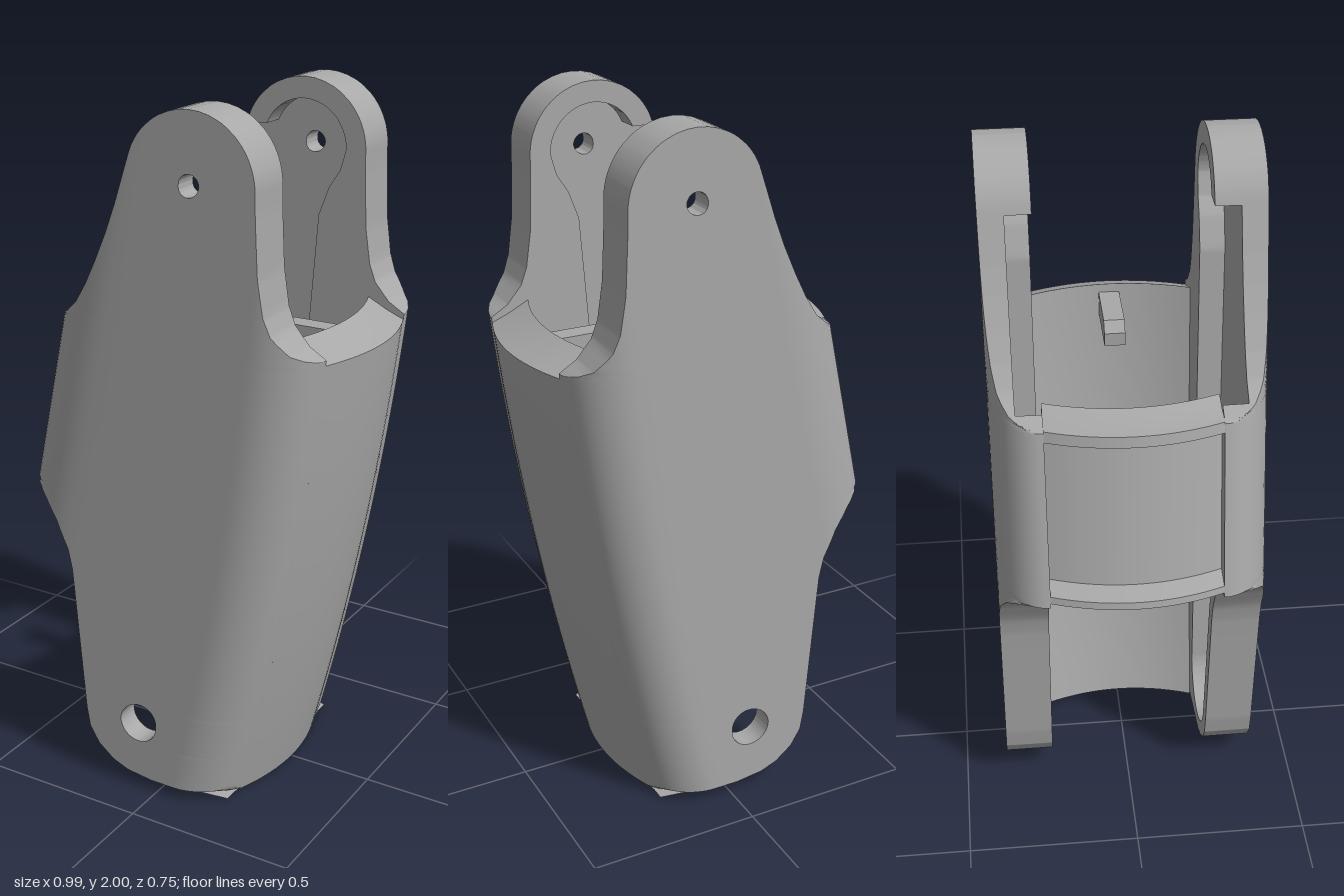
import * as THREE from 'three';
import { toCreasedNormals } from 'three/addons/utils/BufferGeometryUtils.js';

const INNER = 0.235, FLOOR = 0.305, OUTER = 0.375, BOW = 0.045;
const TOP = { x: 0.125, y: 1.81, hole: 0.03 };
const LOW = { x: -0.06, y: 0.22, hole: 0.06 };
const ARM_R = 0.19, POCKET_R = 0.13;

const clamp = THREE.MathUtils.clamp;
const half = (c, r, y) => Math.sqrt(Math.max(0, r * r - (y - c.y) ** 2));

// Linear interpolation in a short list of [y, x] knots
function interp(knots, y) {
  let i = 1;
  while (i < knots.length - 1 && knots[i][0] < y) i++;
  const [y0, x0] = knots[i - 1], [y1, x1] = knots[i];
  return x0 + (x1 - x0) * clamp((y - y0) / (y1 - y0), 0, 1);
}

// Bowed shell limits at z = 0
const shellRight = y => 0.244 + 0.255 * y - 0.053 * y * y;
const shellLeft = y => -0.5 + (y - 0.91) * 0.221;

// Outline of the side plates
const LEFT = [[0.005, 0.245], [0.05, -0.1], [0.07, -0.15], [0.11, -0.2], [0.16, -0.23], [0.22, -0.24],
  [0.6, -0.27], [0.66, -0.275], [0.72, -0.288], [0.8, -0.328], [0.85, -0.373], [0.88, -0.42], [0.905, -0.5],
  [0.906, -0.6], [1.384, -0.6], [1.385, -0.36], [1.41, -0.3], [1.45, -0.25], [1.51, -0.208],
  [1.58, -0.17], [1.66, -0.132], [1.74, -0.1], [1.87, -0.055]];
const RIGHT = [[1.354, 0.6], [1.355, 0.495], [1.37, 0.45], [1.4, 0.4], [1.45, 0.357], [1.5, 0.338],
  [1.6, 0.323], [1.75, 0.316], [1.81, 0.315]];
const plateRight = y => y > TOP.y ? TOP.x + half(TOP, ARM_R, y)
  : Math.min(interp(RIGHT, y), shellRight(y) - BOW);
const plateLeft = y => y > 1.87 ? TOP.x - half(TOP, ARM_R, y)
  : Math.min(Math.max(interp(LEFT, y), shellLeft(y) + BOW), plateRight(y));

// Outer face: flat, rounding in toward the bowed ends
function outerZ(x, y) {
  const corner = (d, w) => d >= w ? OUTER
    : INNER + (OUTER - INNER) * Math.sqrt(Math.max(0, 1 - ((w - Math.max(d, BOW)) / (w - BOW)) ** 2));
  return Math.min(corner(shellRight(y) - x, 0.2), corner(x - shellLeft(y), 0.25));
}

// Inner recess limits; it opens through the left edge of the upper arm
const isOpen = y => y > 1.41 && y < 1.86;
const POCKET_RIGHT = [[0.22, 0.07], [1.62, 0.175], [1.7, 0.205], [1.75, 0.238], [1.81, 0.255]];
function pocket(y, xl) {
  if (y > TOP.y + POCKET_R || y < LOW.y - POCKET_R) return null;
  let a, b;
  if (y < LOW.y) { a = LOW.x - half(LOW, POCKET_R, y); b = LOW.x + half(LOW, POCKET_R, y); }
  else {
    b = y > TOP.y ? TOP.x + half(TOP, POCKET_R, y) : interp(POCKET_RIGHT, y);
    a = isOpen(y) ? xl : y >= 1.86 ? TOP.x - half(TOP, POCKET_R, y) : Math.max(-0.31, xl + 0.05);
    if (y > 1.38 && y <= 1.41) a = Math.max(-0.31, xl);
  }
  return [a, b];
}

// Rows are denser around the arcs
function rowHeights() {
  const ys = [0.011, 1.4095, 1.4105, 1.8595, 1.8605];
  for (let i = 1; i < 70; i++) ys.push(0.011 + (2 - 0.011) * i / 70);
  for (const [c, r] of [[TOP, ARM_R], [TOP, POCKET_R], [TOP, TOP.hole], [LOW, POCKET_R], [LOW, LOW.hole]])
    for (let k = 0; k <= 20; k++) ys.push(c.y + r * Math.cos(Math.PI * k / 20));
  for (const [y] of [...LEFT, ...RIGHT]) if (y > 0.011) ys.push(y);
  ys.sort((p, q) => p - q);
  return ys.filter((y, i) => i === 0 || y - ys[i - 1] > 1e-5);
}

// Closed sections stacked in y, one half of a plate on each side of the pivot line
function plateHalf(right, side) {
  const N = 28, pos = [], idx = [];
  const rows = rowHeights();
  for (const y of rows) {
    const xl = plateLeft(y), xr = plateRight(y);
    const t = clamp((y - LOW.y) / (TOP.y - LOW.y), 0, 1);
    const m = clamp(LOW.x + (TOP.x - LOW.x) * t, xl, xr);
    const h = Math.max(half(TOP, TOP.hole, y), half(LOW, LOW.hole, y));
    const p = pocket(y, xl) || [m, m];
    const a = Math.min(p[0], m), b = Math.max(p[1], m);
    const x0 = right ? m + h : xl, x1 = right ? xr : m - h;
    const loop = [];
    for (let j = 0; j <= N; j++) {
      const s = (1 - Math.cos(Math.PI * j / N)) / 2, x = x0 + (x1 - x0) * s;
      loop.push([x, outerZ(x, y)]);
    }
    if (right) loop.push([xr, INNER], [b, INNER], [b, FLOOR], [x0, FLOOR]);
    else loop.push([x1, FLOOR], [a, FLOOR], [a, isOpen(y) ? FLOOR : INNER], [xl, isOpen(y) ? FLOOR : INNER]);
    for (const [x, z] of loop) pos.push(x, y, z * side);
  }
  const n = N + 5;
  for (let i = 0; i < rows.length - 1; i++) for (let j = 0; j < n; j++) {
    const k = (j + 1) % n, p = i * n + j, q = i * n + k;
    if (side > 0) idx.push(p, q, q + n, p, q + n, p + n);
    else idx.push(p, q + n, q, p, p + n, q + n);
  }
  const g = new THREE.BufferGeometry();
  g.setAttribute('position', new THREE.Float32BufferAttribute(pos, 3));
  g.setIndex(idx);
  return toCreasedNormals(g, 0.55);
}

// Profile swept across the gap and bent in plan
function bowed(profile, dir, width = 2 * INNER) {
  const shape = new THREE.Shape(profile.map(([x, y]) => new THREE.Vector2(x, y)));
  const g = new THREE.ExtrudeGeometry(shape, { depth: width, steps: 16, bevelEnabled: false });
  g.translate(0, 0, -width / 2);
  const p = g.attributes.position;
  for (let i = 0; i < p.count; i++) p.setX(i, p.getX(i) - dir * BOW * (p.getZ(i) / INNER) ** 2);
  return toCreasedNormals(g, 0.5);
}

export function createModel() {
  const group = new THREE.Group();
  group.name = 'linkHousing';
  const grey = new THREE.MeshStandardMaterial({ color: 0xa8a8a8 });
  grey.name = 'grey';
  const add = (name, geometry) => {
    const mesh = new THREE.Mesh(geometry, grey);
    mesh.name = name;
    group.add(mesh);
  };

  // Two mirrored side plates with pivot holes and inner recesses
  for (const side of [1, -1]) {
    const label = side > 0 ? 'front' : 'back';
    add(label + 'PlateRight', plateHalf(true, side));
    add(label + 'PlateLeft', plateHalf(false, side));
  }

  // Long curved wall joining the plates
  const wall = [];
  for (let i = 0; i <= 24; i++) { const y = 0.005 + 1.35 * i / 24; wall.push([shellRight(y), y]); }
  wall.push([0.44, 1.376]);
  for (let i = 24; i >= 0; i--) { const y = 0.02 + 1.385 * i / 24; wall.push([shellRight(y) - 0.115, y]); }
  add('curvedWall', bowed(wall, 1));

  // Short panel on the other side, with a pocket between two lips
  const L = shellLeft;
  add('pocketPanel', bowed([
    [L(1.39), 1.39], [L(1.36), 1.36], [L(1.35) + 0.055, 1.35], [L(0.94) + 0.055, 0.94], [L(0.925), 0.925],
    [L(0.905), 0.905], [L(0.89) + 0.06, 0.89], [L(0.87) + 0.1, 0.87], [L(1.41) + 0.1, 1.41], [L(1.4) + 0.05, 1.395],
  ], -1));

  // Small stop rib inside the curved wall
  add('stopRib', bowed([[0.4, 1.38], [0.215, 1.38], [0.19, 1.35], [0.19, 1.31], [0.4, 1.31]], 1, 0.06));
  return group;
}
